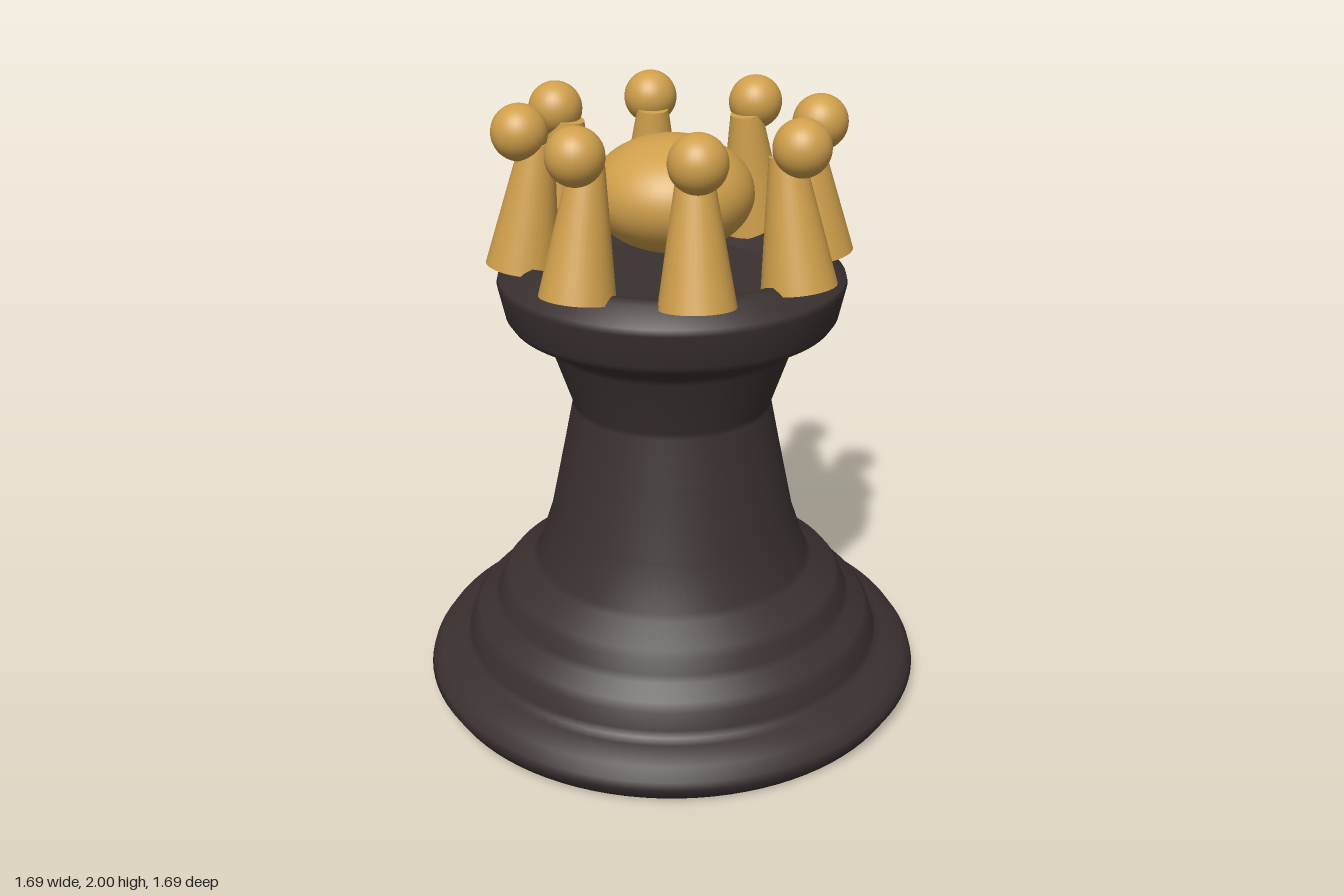
import * as THREE from 'three';

export function createModel() {
  const group = new THREE.Group();
  const dark = new THREE.MeshStandardMaterial({ color: 0x3a3030 });
  dark.name = 'dark wood';
  const gold = new THREE.MeshStandardMaterial({ color: 0xcf9f4b });
  gold.name = 'gold';

  const add = (parent, name, geometry, material) => {
    const mesh = new THREE.Mesh(geometry, material);
    mesh.name = name;
    parent.add(mesh);
    return mesh;
  };

  // Turned body: stepped foot, tapering stem and flared collar with a shallow dish.
  // A repeated point makes a sharp edge.
  const profile = [
    [0, 0], [0.79, 0], [0.79, 0], [0.815, 0.01], [0.845, 0.06], [0.838, 0.085], [0.81, 0.125],
    [0.74, 0.15], [0.715, 0.16], [0.705, 0.18], [0.69, 0.235], [0.67, 0.26],
    [0.615, 0.295], [0.6, 0.315], [0.585, 0.36], [0.565, 0.385], [0.48, 0.435], [0.462, 0.455],
    [0.41, 0.61], [0.36, 0.85], [0.33, 1.0], [0.33, 1.02], [0.395, 1.21], [0.41, 1.235],
    [0.52, 1.3], [0.537, 1.325], [0.56, 1.43], [0.555, 1.45], [0.49, 1.5], [0.465, 1.51],
    [0.43, 1.5], [0.33, 1.45], [0.33, 1.45], [0, 1.45],
  ].map(([r, y]) => new THREE.Vector2(r, y));
  add(group, 'body', new THREE.LatheGeometry(profile, 96), dark);

  // Flattened dome in the middle of the crown
  const dome = add(group, 'dome', new THREE.SphereGeometry(0.26, 48, 32), gold);
  dome.scale.y = 0.7;
  dome.position.y = 1.705;

  // Eight inward-leaning cones, each topped with a ball
  const coneGeometry = new THREE.CylinderGeometry(0.052, 0.117, 0.4, 32);
  const ballGeometry = new THREE.SphereGeometry(0.088, 32, 24);
  for (let i = 0; i < 8; i++) {
    const point = new THREE.Group();
    point.name = 'crownPoint';
    point.rotation.y = (i * Math.PI) / 4;
    const cone = add(point, 'crownCone', coneGeometry, gold);
    cone.position.set(0, 1.685, 0.445);
    cone.rotation.x = -0.15;
    add(point, 'crownBall', ballGeometry, gold).position.set(0, 1.912, 0.47);
    group.add(point);
  }
  return group;
}
